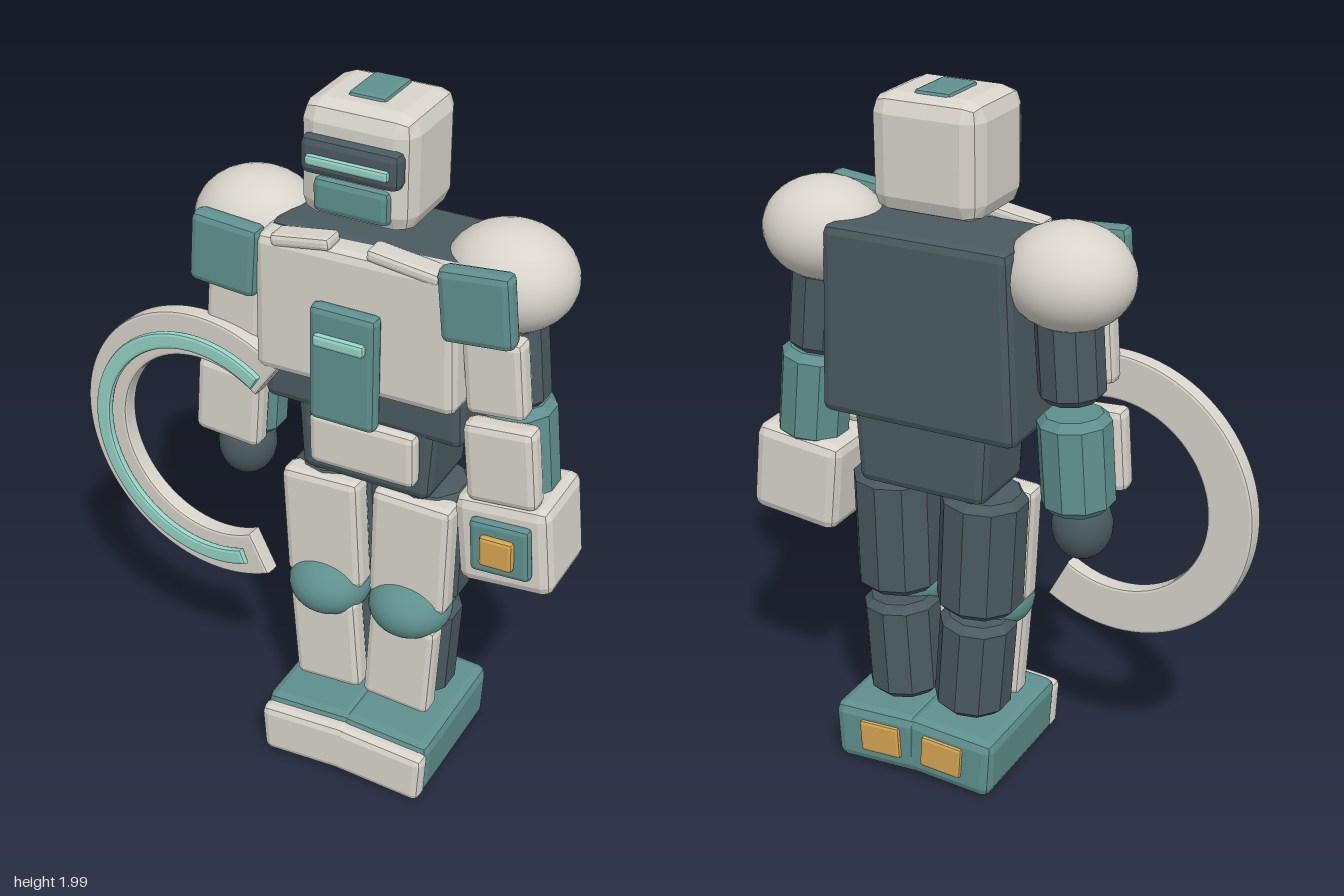
import * as THREE from 'three';
import { RoundedBoxGeometry } from 'three/addons/geometries/RoundedBoxGeometry.js';

const material = (name, color) => {
  const m = new THREE.MeshStandardMaterial({ color });
  m.name = name;
  return m;
};

export function createModel() {
  const light = material('warm white', 0xd8d4cb);
  const dark = material('dark slate', 0x4a5a60);
  const teal = material('teal', 0x5f908e);
  const glow = material('pale aqua', 0x95d2c6);
  const amber = material('amber', 0xd6a552);

  const robot = new THREE.Group();
  robot.name = 'robot';

  const add = (name, geo, mat, x, y, z, tilt = 0) => {
    const mesh = new THREE.Mesh(geo, mat);
    mesh.name = name;
    mesh.position.set(x, y, z);
    mesh.rotation.z = THREE.MathUtils.degToRad(tilt);
    robot.add(mesh);
    return mesh;
  };

  // Chamfered block with flat faces; taper widens it towards the bottom
  const block = (name, mat, [w, h, d], [x, y, z], tilt = 0, r = 0.02, taper = 0) => {
    const geo = new RoundedBoxGeometry(w, h, d, 1, r);
    const p = geo.attributes.position;
    for (let i = 0; i < p.count; i++) p.setX(i, p.getX(i) * (1 - taper * p.getY(i) / h));
    geo.computeVertexNormals();
    return add(name, geo, mat, x, y, z, tilt);
  };

  // Faceted limb with bevelled rims
  const limb = (name, mat, r, h, [x, y, z], tilt) => {
    const b = 0.022, k = h / 2;
    const profile = [[0, -k], [r - b, -k], [r, -k + b], [r, k - b], [r - b, k], [0, k]]
      .map(([a, c]) => new THREE.Vector2(a, c));
    const geo = new THREE.LatheGeometry(profile, 10).toNonIndexed();
    geo.computeVertexNormals();
    return add(name, geo, mat, x, y, z, tilt);
  };

  const ball = (name, mat, [rx, ry, rz], [x, y, z]) => {
    const mesh = add(name, new THREE.SphereGeometry(1, 32, 20), mat, x, y, z);
    mesh.scale.set(rx, ry, rz);
    return mesh;
  };

  // Head
  block('head', light, [0.315, 0.31, 0.275], [0.125, 1.835, -0.06], 0, 0.05);
  block('visorFrame', dark, [0.27, 0.1, 0.06], [0.125, 1.86, 0.075], 0, 0.02);
  block('visorLight', glow, [0.225, 0.028, 0.02], [0.125, 1.855, 0.108], 0, 0.008);
  block('mouthGuard', teal, [0.21, 0.095, 0.05], [0.125, 1.755, 0.07], 0, 0.018);
  block('crest', teal, [0.105, 0.04, 0.15], [0.12, 1.98, -0.075], 0, 0.012);

  // Torso
  block('torso', dark, [0.56, 0.53, 0.28], [0.146, 1.37, -0.08], 0, 0.025, 0.08);
  block('chestPlate', light, [0.565, 0.395, 0.12], [0.148, 1.432, 0.062], 1, 0.025, 0.03);
  block('chestPanel', teal, [0.19, 0.335, 0.05], [0.14, 1.318, 0.138], 0, 0.018);
  block('chestLight', glow, [0.145, 0.036, 0.024], [0.138, 1.397, 0.168], 0, 0.01);
  block('collarRight', light, [0.17, 0.035, 0.07], [0, 1.628, 0.09], 9, 0.012);
  block('collarLeft', light, [0.2, 0.035, 0.07], [0.285, 1.63, 0.09], -7, 0.012);
  block('pelvis', dark, [0.395, 0.24, 0.24], [0.153, 1.025, -0.07], 0, 0.025, -0.08);
  block('beltPlate', light, [0.312, 0.16, 0.06], [0.158, 1.035, 0.055], 1, 0.02);

  // Arms, each leaning outwards
  const arms = [
    { side: 'Right', tilt: -4, shoulder: [-0.228, 1.555], pad: [-0.22, 1.54], upper: [-0.23, 1.345], fore: [-0.255, 1.05] },
    { side: 'Left', tilt: 6, shoulder: [0.49, 1.572], pad: [0.482, 1.567], upper: [0.515, 1.35], fore: [0.545, 1.095] },
  ];
  for (const { side, tilt, shoulder, pad, upper, fore } of arms) {
    ball('shoulder' + side, light, [0.174, 0.14, 0.157], [...shoulder, -0.075]);
    block('shoulderPad' + side, teal, [0.195, 0.2, 0.062], [...pad, 0.102], tilt, 0.02);
    limb('upperArm' + side, dark, 0.09, 0.25, [...upper, -0.07], tilt);
    block('upperArmPlate' + side, light, [0.165, 0.22, 0.07], [...upper, 0.035], tilt, 0.02);
    limb('forearm' + side, teal, 0.1, 0.27, [...fore, -0.075], tilt);
    block('forearmPlate' + side, light, [0.2, 0.235, 0.07], [...fore, 0.035], tilt, 0.022);
  }
  ball('handRight', dark, [0.083, 0.097, 0.083], [-0.266, 0.857, -0.055]);
  block('fist', light, [0.27, 0.265, 0.245], [0.567, 0.852, -0.052], 6, 0.03);
  block('fistFrame', teal, [0.17, 0.16, 0.035], [0.57, 0.86, 0.08], 4, 0.014);
  block('fistBadge', amber, [0.095, 0.09, 0.03], [0.567, 0.858, 0.1], 2, 0.01);

  // Legs and feet
  const legs = [
    { side: 'Right', tilt: 3, thigh: [0.03, 0.72], knee: [0.04, 0.527], shin: [0.055, 0.36], shinTilt: 4.5, foot: 0.065, heel: 0.08, footTilt: 4 },
    { side: 'Left', tilt: -1, thigh: [0.295, 0.73], knee: [0.29, 0.537], shin: [0.285, 0.36], shinTilt: -3, foot: 0.292, heel: 0.278, footTilt: -3 },
  ];
  for (const { side, tilt, thigh, knee, shin, shinTilt, foot, heel, footTilt } of legs) {
    limb('thigh' + side, dark, 0.122, 0.36, [...thigh, -0.065], tilt);
    block('thighPlate' + side, light, [0.235, 0.35, 0.08], [...thigh, 0.025], tilt, 0.022);
    ball('knee' + side, teal, [0.118, 0.09, 0.112], [...knee, 0.022]);
    limb('shin' + side, dark, 0.11, 0.3, [...shin, -0.062], shinTilt);
    block('shinPlate' + side, light, [0.205, 0.3, 0.07], [...shin, 0.052], shinTilt, 0.02);
    block('foot' + side, teal, [0.275, 0.18, 0.42], [foot, 0.105, -0.015], footTilt, 0.028);
    block('toe' + side, light, [0.275, 0.155, 0.06], [foot, 0.097, 0.2], footTilt, 0.022);
    block('heelLight' + side, amber, [0.13, 0.1, 0.025], [heel, 0.11, -0.222], footTilt, 0.01);
  }

  // Open ring shield with a glowing band on its face
  const arcBand = (r0, r1, from, to, depth, bevel) => {
    const a = THREE.MathUtils.degToRad(from), b = THREE.MathUtils.degToRad(to);
    const shape = new THREE.Shape();
    shape.absarc(0, 0, r1 - bevel, a, b, false);
    shape.absarc(0, 0, r0 + bevel, b, a, true);
    return new THREE.ExtrudeGeometry(shape, {
      depth: depth - 2 * bevel, bevelThickness: bevel, bevelSize: bevel, bevelSegments: 2, curveSegments: 40,
    }).translate(0, 0, bevel - depth / 2);
  };
  const shield = new THREE.Group();
  shield.name = 'ringShield';
  const ring = new THREE.Mesh(arcBand(0.28, 0.41, 55, 298, 0.05, 0.008), light);
  ring.name = 'shieldRing';
  const band = new THREE.Mesh(arcBand(0.312, 0.36, 58, 292, 0.022, 0.009), glow);
  band.name = 'shieldBand';
  band.position.z = 0.045;
  shield.add(ring, band);
  shield.position.set(-0.31, 0.905, 0.07);
  shield.rotation.y = -0.08;
  robot.add(shield);

  return robot;
}
